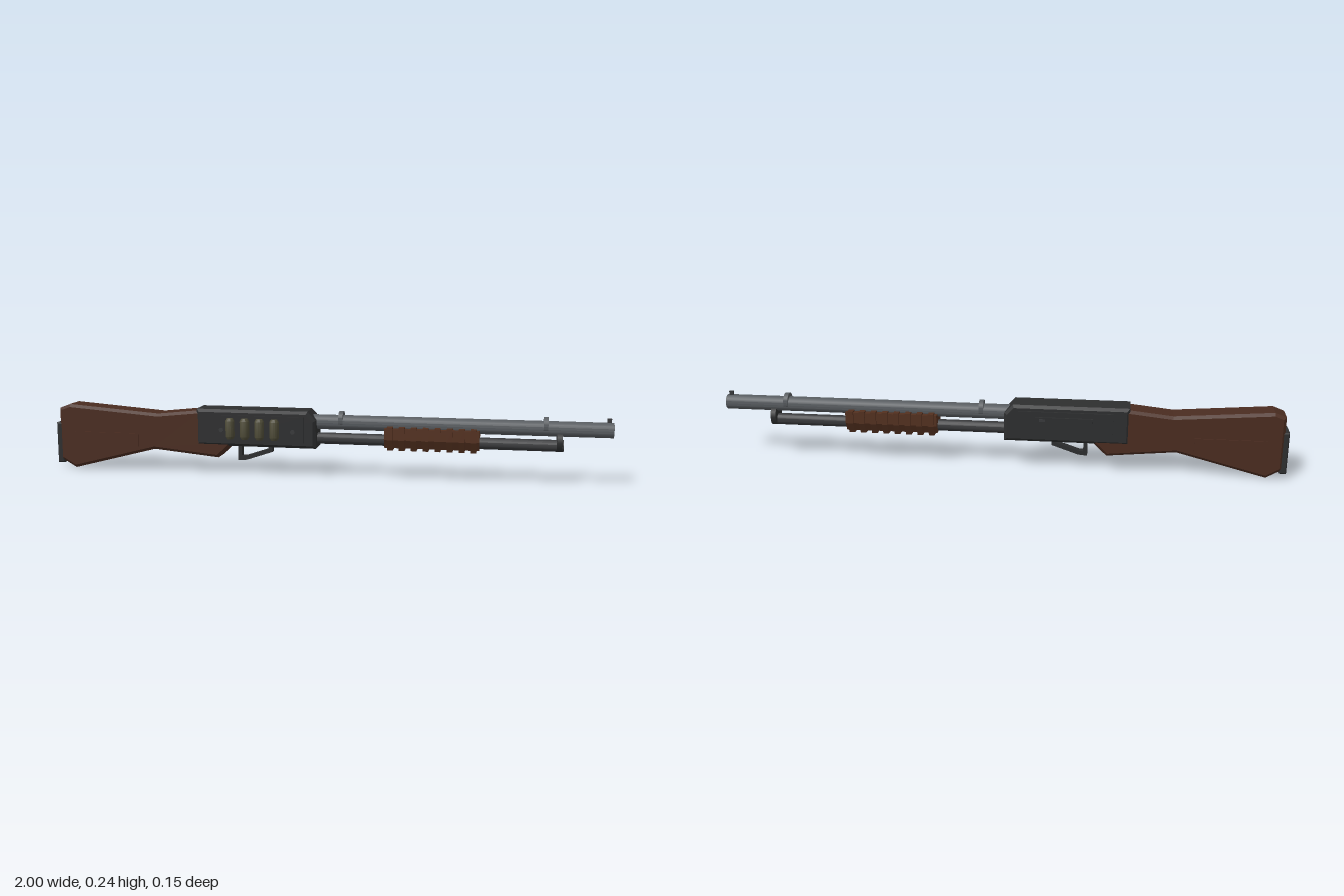
import * as THREE from 'three';
import { toCreasedNormals } from 'three/addons/utils/BufferGeometryUtils.js';

const mat = (name, color, extra = {}) => {
  const m = new THREE.MeshStandardMaterial({ color, ...extra });
  m.name = name;
  return m;
};

export function createModel() {
  const walnut = mat('walnut', 0x4a2c20);
  const pumpWood = mat('pump wood', 0x53301f);
  const blackSteel = mat('black steel', 0x2d2e2f);
  const darkSteel = mat('dark steel', 0x38393b);
  const greySteel = mat('grey steel', 0x585c60);
  const olive = mat('olive', 0x4f4c38);

  const model = new THREE.Group();
  model.name = 'longGun';
  const body = new THREE.Group();
  body.name = 'body';
  body.position.z = -0.005;
  model.add(body);

  const add = (name, geo, material, x = 0, y = 0, z = 0) => {
    const mesh = new THREE.Mesh(geo, material);
    mesh.name = name;
    mesh.position.set(x, y, z);
    body.add(mesh);
    return mesh;
  };
  const box = (name, material, x0, x1, y0, y1, z0, z1) =>
    add(name, new THREE.BoxGeometry(x1 - x0, y1 - y0, z1 - z0), material,
      (x0 + x1) / 2, (y0 + y1) / 2, (z0 + z1) / 2);
  // Rod lying along x
  const rod = (name, material, r, x0, x1, y, sides = 20) => {
    const geo = new THREE.CylinderGeometry(r, r, x1 - x0, sides).rotateZ(-Math.PI / 2);
    return add(name, toCreasedNormals(geo, 0.6), material, (x0 + x1) / 2, y, 0);
  };
  // Side outline given a thickness and chamfered edges
  const slab = (points, halfWidth, bevel) => {
    const shape = new THREE.Shape(points.map(p => new THREE.Vector2(...p)));
    const geo = new THREE.ExtrudeGeometry(shape, {
      depth: 2 * (halfWidth - bevel), bevelThickness: bevel, bevelSize: bevel,
      bevelOffset: -bevel, bevelSegments: 1,
    });
    return geo.translate(0, 0, bevel - halfWidth);
  };

  // Stock, its side panels and the butt pad
  add('stock', slab([
    [-0.985, 0.035], [-0.93, 0.003], [-0.62, 0.083], [-0.38, 0.06], [-0.33, 0.107],
    [-0.33, 0.23], [-0.455, 0.23], [-0.605, 0.214], [-0.945, 0.24], [-0.985, 0.225],
  ], 0.048, 0.01), walnut);
  for (const s of [-1, 1]) {
    box('stockPanel', walnut, -0.925, -0.68, 0.085, 0.14, s * 0.0495 - 0.0025, s * 0.0495 + 0.0025);
  }
  add('buttPad', slab([[-1, 0.02], [-0.975, 0.02], [-0.975, 0.17], [-1, 0.17]], 0.042, 0.004), blackSteel);

  // Receiver
  add('receiver', slab([
    [-0.457, 0.105], [-0.02, 0.105], [-0.02, 0.205], [-0.05, 0.237], [-0.457, 0.237],
  ], 0.053, 0.01), blackSteel);

  // Left side: shell carrier with four upright shells
  box('shellCarrier', blackSteel, -0.38, -0.06, 0.125, 0.218, 0.05, 0.06);
  const shellProfile = [[0, -0.038], [0.011, -0.038], [0.017, -0.028], [0.017, 0.028], [0.011, 0.038], [0, 0.038]]
    .map(p => new THREE.Vector2(...p));
  for (let i = 0; i < 4; i++) {
    add('shell', toCreasedNormals(new THREE.LatheGeometry(shellProfile, 14), 0.6), olive,
      -0.328 + i * 0.054, 0.171, 0.063);
  }
  for (const x of [-0.362, -0.1]) {
    const screw = new THREE.CylinderGeometry(0.008, 0.008, 0.006, 10).rotateX(Math.PI / 2);
    add('carrierScrew', screw, darkSteel, x, 0.165, 0.061);
  }

  // Right side: cover plate, raised port and small stud
  box('coverPlate', blackSteel, -0.4, -0.07, 0.125, 0.218, -0.06, -0.05);
  box('sidePort', blackSteel, -0.33, -0.13, 0.16, 0.2, -0.067, -0.058);
  box('portStud', darkSteel, -0.165, -0.145, 0.186, 0.195, -0.07, -0.064);

  // Trigger guard: flat strip bent to a loop
  const guard = new THREE.Shape([
    [-0.312, 0.11], [-0.312, 0.047], [-0.28, 0.05], [-0.185, 0.082], [-0.185, 0.11],
  ].map(p => new THREE.Vector2(...p)));
  guard.holes.push(new THREE.Path([
    [-0.298, 0.104], [-0.2, 0.104], [-0.2, 0.092], [-0.283, 0.064], [-0.298, 0.063],
  ].map(p => new THREE.Vector2(...p))));
  add('triggerGuard', new THREE.ExtrudeGeometry(guard, { depth: 0.026, bevelEnabled: false })
    .translate(0, 0, -0.013), blackSteel);

  // Barrel, raised bands and front bead
  rod('barrel', greySteel, 0.0265, -0.04, 1, 0.196);
  for (const x of [0.065, 0.775]) rod('barrelBand', greySteel, 0.03, x - 0.008, x + 0.008, 0.206);
  box('frontBead', darkSteel, 0.978, 0.992, 0.215, 0.236, -0.005, 0.005);

  // Lower tube and its end bracket
  rod('lowerTube', darkSteel, 0.0205, -0.04, 0.837, 0.137);
  rod('tubeBracket', blackSteel, 0.037, 0.813, 0.832, 0.153, 12);

  // Ribbed pump grip
  const gripSection = (w, top, bottom, length) => {
    const shape = new THREE.Shape([
      [-w * 0.6, bottom], [w * 0.6, bottom], [w, 0.145], [w, top], [-w, top], [-w, 0.145],
    ].map(p => new THREE.Vector2(...p)));
    return new THREE.ExtrudeGeometry(shape, { depth: length, bevelEnabled: false }).rotateY(Math.PI / 2);
  };
  add('pumpGrip', gripSection(0.043, 0.184, 0.114, 0.33), pumpWood, 0.222);
  const rib = gripSection(0.05, 0.19, 0.106, 0.02);
  for (let i = 0; i < 8; i++) add('pumpRib', rib, pumpWood, 0.232 + i * 0.0415);

  return model;
}
